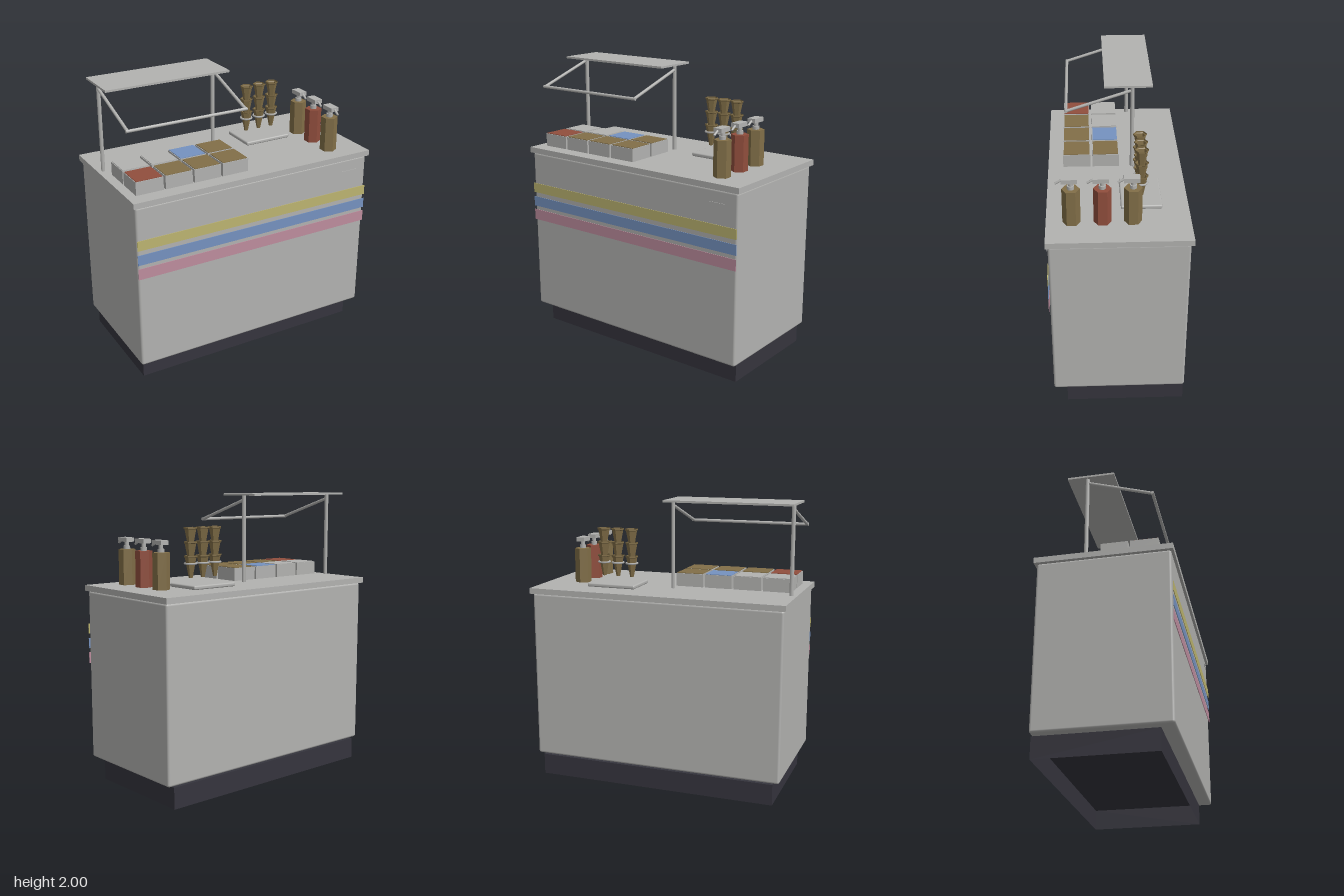
import * as THREE from 'three';
import { toCreasedNormals } from 'three/addons/utils/BufferGeometryUtils.js';
import { RoundedBoxGeometry } from 'three/addons/geometries/RoundedBoxGeometry.js';

function mat(name, color, side = THREE.FrontSide) {
  const m = new THREE.MeshStandardMaterial({ color, side });
  m.name = name;
  return m;
}

export function createModel() {
  const root = new THREE.Group();
  root.name = 'servingCounter';
  const grey = mat('steelGrey', 0xb2b2b0);
  const dark = mat('plinthDark', 0x35343d, THREE.DoubleSide);
  const yellow = mat('stripeYellow', 0xbcb470);
  const blue = mat('stripeBlue', 0x7592c0);
  const pink = mat('stripePink', 0xbd8d9e);
  const brown = mat('waferBrown', 0x826f48, THREE.DoubleSide);
  const red = mat('sauceRed', 0x914e3d);

  function add(parent, name, geometry, material, x = 0, y = 0, z = 0) {
    const mesh = new THREE.Mesh(geometry, material);
    mesh.name = name;
    mesh.position.set(x, y, z);
    parent.add(mesh);
    return mesh;
  }
  // Box given by its low and high corners, with optional softened edges
  function block(parent, name, material, [x0, x1], [y0, y1], [z0, z1], r = 0) {
    const s = [x1 - x0, y1 - y0, z1 - z0];
    const g = r ? new RoundedBoxGeometry(...s, 2, r) : new THREE.BoxGeometry(...s);
    return add(parent, name, g, material, (x0 + x1) / 2, (y0 + y1) / 2, (z0 + z1) / 2);
  }
  // Round bar between two points
  function bar(parent, name, a, b, r, sides = 8) {
    const p = new THREE.Vector3(...a), q = new THREE.Vector3(...b);
    const d = q.clone().sub(p);
    const mesh = add(parent, name, new THREE.CylinderGeometry(r, r, d.length(), sides), grey);
    mesh.position.copy(p).add(q).multiplyScalar(0.5);
    mesh.quaternion.setFromUnitVectors(new THREE.Vector3(0, 1, 0), d.normalize());
    return mesh;
  }
  function group(name, x = 0, y = 0, z = 0) {
    const g = new THREE.Group();
    g.name = name;
    g.position.set(x, y, z);
    root.add(g);
    return g;
  }

  // Plinth: set back at the front and open underneath
  const plinth = block(root, 'plinth', dark, [-0.853, 0.853], [0, 0.148], [-0.445, 0.36]);
  const faces = Array.from(plinth.geometry.index.array);
  faces.splice(18, 6);
  plinth.geometry.setIndex(faces);
  plinth.geometry.clearGroups();

  // Cabinet and worktop
  block(root, 'cabinet', grey, [-0.898, 0.898], [0.155, 1.34], [-0.447, 0.45], 0.016);
  block(root, 'worktop', grey, [-0.913, 0.913], [1.34, 1.38], [-0.465, 0.465]);

  // Painted bands across the front, and a small plate above them
  [['yellowStripe', yellow, 1.04, 1.11], ['blueStripe', blue, 0.935, 1.007], ['pinkStripe', pink, 0.83, 0.908]]
    .forEach(([name, m, y0, y1]) => block(root, name, m, [-0.898, 0.898], [y0, y1], [0.456, 0.46]));
  block(root, 'frontPlate', grey, [0.69, 0.81], [1.25, 1.256], [0.456, 0.46]);

  // Guard: roof panel, two posts, sloping arms and a front rail
  const guard = group('guard');
  block(guard, 'guardRoof', grey, [-0.9, -0.005], [1.986, 2], [-0.255, 0.07]);
  for (const x of [-0.872, -0.032]) {
    bar(guard, 'guardPost', [x, 1.38, -0.12], [x, 1.986, -0.12], 0.014);
    bar(guard, 'guardArm', [x, 1.955, -0.115], [x, 1.81, 0.33], 0.011);
  }
  bar(guard, 'guardRail', [-0.884, 1.81, 0.33], [-0.02, 1.81, 0.33], 0.011);

  // Topping pans: two rows of four, each with a coloured filling
  const pans = group('toppingPans');
  const rows = [[0.17, 0.36, [red, brown, brown, brown]], [-0.03, 0.155, [grey, grey, blue, brown]]];
  for (const [z0, z1, fills] of rows) {
    fills.forEach((fill, i) => {
      const x = -0.848 + i * 0.2095;
      block(pans, 'pan', grey, [x, x + 0.195], [1.38, 1.472], [z0, z1]);
      block(pans, 'panFilling', fill, [x + 0.005, x + 0.19], [1.472, 1.476], [z0 + 0.005, z1 - 0.005]);
    });
  }

  // Tray with stacks of open six-sided cones held in rings
  block(root, 'coneTray', grey, [0.195, 0.55], [1.383, 1.411], [-0.29, -0.02], 0.01);
  const coneProfile = [[0.013, 0], [0.039, 0.135], [0.045, 0.14], [0.045, 0.15]]
    .map(([r, y]) => new THREE.Vector2(r, y));
  const coneGeo = toCreasedNormals(new THREE.LatheGeometry(coneProfile, 6), 0.3);
  const ringGeo = new THREE.TorusGeometry(0.04, 0.007, 6, 12).rotateX(Math.PI / 2);
  for (const x of [0.265, 0.37, 0.475]) {
    const stack = group('coneStack', x, 1.448, -0.155);
    for (let i = 0; i < 3; i++) add(stack, 'cone', coneGeo, brown, 0, i * 0.094, 0);
    add(stack, 'coneRing', ringGeo, grey, 0, 0.097, 0);
  }

  // Pump bottles along the model's left end
  const bottleGeo = toCreasedNormals(new THREE.CylinderGeometry(0.058, 0.058, 0.245, 6), 0.3);
  for (const [z, sauce] of [[-0.092, brown], [0.102, red], [0.3, brown]]) {
    const pump = group('pumpBottle', 0.672, 1.38, z);
    add(pump, 'bottle', bottleGeo, sauce, 0, 0.1225, 0);
    bar(pump, 'pumpCollar', [0, 0.245, 0], [0, 0.268, 0], 0.023);
    bar(pump, 'pumpStem', [0, 0.268, 0], [0, 0.297, 0], 0.015);
    block(pump, 'pumpHead', grey, [-0.03, 0.03], [0.296, 0.325], [-0.042, 0.06]);
    bar(pump, 'pumpSpout', [0, 0.31, 0.055], [0, 0.285, 0.096], 0.008);
  }
  return root;
}
